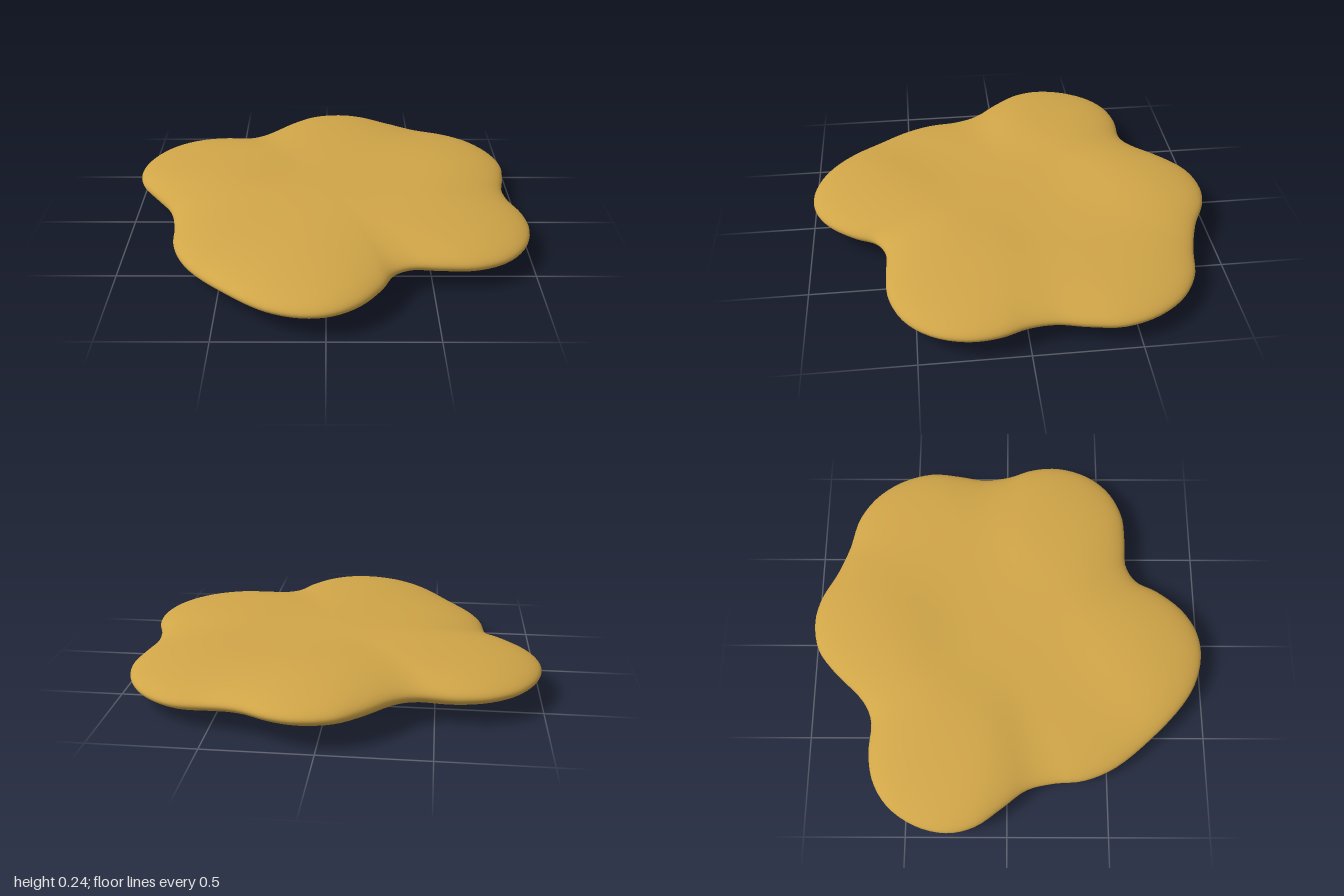
import * as THREE from 'three';
import { mergeVertices } from 'three/addons/utils/BufferGeometryUtils.js';

// Lobed plan outline as [x, z], clockwise seen from above, starting at the back
const OUTLINE = [
  [0.07, -1], [0.2, -0.975], [0.35, -0.9], [0.5, -0.85], [0.68, -0.81], [0.82, -0.72], [0.92, -0.58],
  [0.965, -0.42], [0.95, -0.27], [0.925, -0.13], [0.94, 0], [0.985, 0.13], [0.995, 0.27], [0.95, 0.42],
  [0.85, 0.54], [0.7, 0.61], [0.55, 0.62], [0.4, 0.62], [0.31, 0.67], [0.25, 0.78], [0.15, 0.9],
  [0.03, 0.97], [-0.1, 0.985], [-0.25, 0.945], [-0.38, 0.86], [-0.55, 0.69], [-0.68, 0.52], [-0.74, 0.37],
  [-0.755, 0.22], [-0.79, 0.09], [-0.88, -0.03], [-0.97, -0.16], [-1, -0.29], [-0.97, -0.44],
  [-0.88, -0.58], [-0.76, -0.66], [-0.62, -0.69], [-0.45, -0.685], [-0.35, -0.73], [-0.2, -0.88], [-0.08, -0.97],
];

// Gentle swells: [x, z, middle height, half thickness]
const SWELLS = [
  [-0.6, -0.3, 0.145, 0.105], [0.07, -0.65, 0.158, 0.108], [0.65, -0.45, 0.118, 0.108],
  [0.65, 0.25, 0.13, 0.108], [-0.08, 0.75, 0.14, 0.108], [-0.4, 0.3, 0.106, 0.108],
  [0, 0, 0.132, 0.09], [0.25, -0.3, 0.135, 0.078], [0.3, 0.6, 0.145, 0.09],
];

// Smoothly blended middle height and half thickness at a plan position
function swellAt(x, z) {
  let sum = 0, mid = 0, half = 0;
  for (const [sx, sz, m, h] of SWELLS) {
    const w = Math.exp(-((x - sx) ** 2 + (z - sz) ** 2) / 0.08);
    sum += w;
    mid += w * m;
    half += w * h;
  }
  return [mid / sum, half / sum];
}

export function createModel() {
  const outline = new THREE.CatmullRomCurve3(
    OUTLINE.map(([x, z]) => new THREE.Vector3(x, 0, z)).reverse(), true, 'centripetal');

  // Flatten a sphere into the outline, with rounded rims and swelling faces
  const geometry = new THREE.SphereGeometry(1, 160, 64);
  const pos = geometry.attributes.position;
  const uv = geometry.attributes.uv;
  const p = new THREE.Vector3();
  for (let i = 0; i < pos.count; i++) {
    const y = pos.getY(i);
    const s = Math.sqrt(Math.max(0, 1 - y * y));
    outline.getPoint(THREE.MathUtils.euclideanModulo(uv.getX(i), 1), p).multiplyScalar(s);
    const [mid, half] = swellAt(p.x, p.z);
    const rise = Math.abs(y) < 1e-6 ? 0 : Math.sign(y) * Math.sqrt(Math.max(0, 1 - s ** 3));
    pos.setXYZ(i, p.x, mid + half * rise, p.z);
  }

  // Weld the seam so shading is smooth all round
  geometry.deleteAttribute('uv');
  geometry.deleteAttribute('normal');
  const body = mergeVertices(geometry, 1e-5);
  body.computeVertexNormals();

  // Rest on the ground, centred
  body.computeBoundingBox();
  const box = body.boundingBox;
  const c = box.getCenter(new THREE.Vector3());
  body.translate(-c.x, -box.min.y, -c.z);

  const nugget = new THREE.Mesh(body, new THREE.MeshStandardMaterial({ color: 0xd0a548 }));
  nugget.name = 'lobedBody';
  const group = new THREE.Group();
  group.name = 'flatLobedBlob';
  group.add(nugget);
  return group;
}
